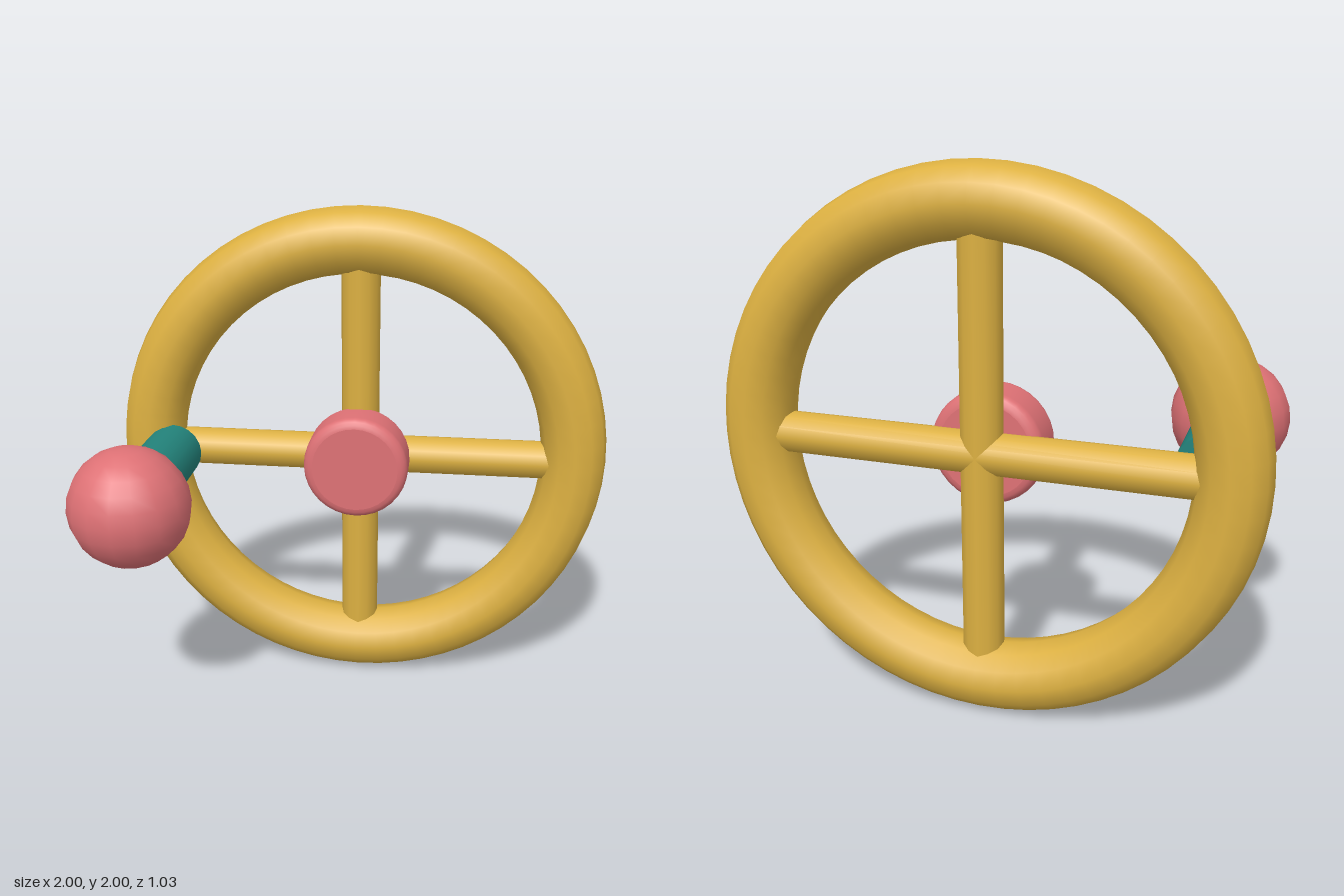
import * as THREE from 'three';

export function createModel() {
  const group = new THREE.Group();
  const material = (name, color) => {
    const m = new THREE.MeshStandardMaterial({ color });
    m.name = name;
    return m;
  };
  const yellow = material('golden yellow', 0xdcb041);
  const pink = material('coral pink', 0xde7175);
  const teal = material('teal', 0x23837b);

  const add = (name, geometry, mat, x, y, z) => {
    const mesh = new THREE.Mesh(geometry, mat);
    mesh.name = name;
    mesh.position.set(x, y, z);
    group.add(mesh);
    return mesh;
  };

  const CENTRE_Y = 1, WHEEL_Z = -0.385, KNOB_X = -0.772;

  // Wheel rim
  add('rim', new THREE.TorusGeometry(0.87, 0.13, 12, 64), yellow, 0, CENTRE_Y, WHEEL_Z);

  // Two crossing bars make the four spokes; their ends sit inside the rim
  const bar = new THREE.CylinderGeometry(0.077, 0.077, 1.66, 12);
  add('verticalSpokes', bar, yellow, 0, CENTRE_Y, WHEEL_Z);
  add('horizontalSpokes', bar, yellow, 0, CENTRE_Y, WHEEL_Z).rotation.z = Math.PI / 2;

  // Hub disc with rounded edges, turned to face the front
  const radius = 0.21, half = 0.095, bevel = 0.038;
  const profile = [new THREE.Vector2(0, -half), new THREE.Vector2(radius - bevel, -half)];
  for (const side of [-1, 1]) {
    for (let i = 0; i <= 4; i++) {
      const a = (side < 0 ? i - 4 : i) * Math.PI / 8;
      profile.push(new THREE.Vector2(
        radius - bevel + bevel * Math.cos(a),
        side * (half - bevel) + bevel * Math.sin(a)));
    }
  }
  profile.push(new THREE.Vector2(radius - bevel, half), new THREE.Vector2(0, half));
  add('hub', new THREE.LatheGeometry(profile, 32), pink, 0, CENTRE_Y, -0.268).rotation.x = Math.PI / 2;

  // Crank handle: shaft from the rim to the knob
  const shaftBack = -0.3, shaftFront = 0.2;
  add('handleShaft', new THREE.CylinderGeometry(0.115, 0.115, shaftFront - shaftBack, 20), teal,
    KNOB_X, CENTRE_Y, (shaftFront + shaftBack) / 2).rotation.x = Math.PI / 2;
  add('handleKnob', new THREE.SphereGeometry(0.227, 16, 12), pink, KNOB_X, CENTRE_Y + 0.003, 0.29);

  return group;
}
